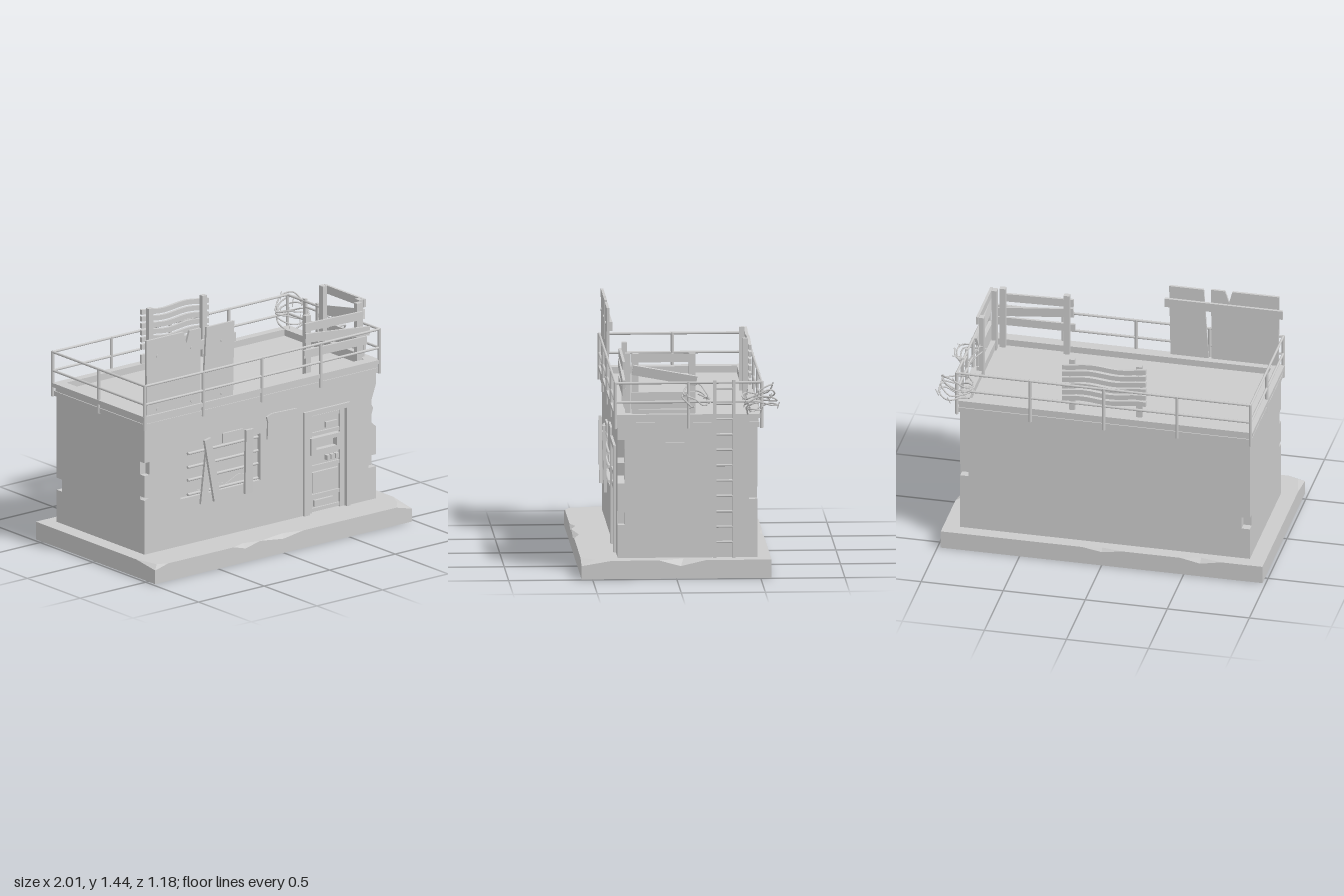
import * as THREE from 'three';

const mat = new THREE.MeshStandardMaterial({ color: 0xcccccc, flatShading: true, side: THREE.DoubleSide });
const smooth = new THREE.MeshStandardMaterial({ color: 0xcccccc });
const V = (x, y, z) => new THREE.Vector3(x, y, z);
const X0 = -0.905, X1 = 0.86, Z0 = -0.47, Z1 = 0.36, GROUND = 0.11, TOP = 0.9;

function add(parent, name, geo, m = mat) {
  const mesh = new THREE.Mesh(geo, m);
  mesh.name = name;
  parent.add(mesh);
  return mesh;
}
// Box given by its extents
function block(parent, name, x0, x1, y0, y1, z0, z1) {
  const mesh = add(parent, name, new THREE.BoxGeometry(x1 - x0, y1 - y0, z1 - z0));
  mesh.position.set((x0 + x1) / 2, (y0 + y1) / 2, (z0 + z1) / 2);
  return mesh;
}
// Round bar between two points
function rod(parent, name, a, b, r = 0.008) {
  const mesh = add(parent, name, new THREE.CylinderGeometry(r, r, a.distanceTo(b), 8), smooth);
  mesh.position.copy(a).add(b).multiplyScalar(0.5);
  mesh.quaternion.setFromUnitVectors(V(0, 1, 0), b.clone().sub(a).normalize());
}
// Board between two points along its length, optionally warped by a wave
function plank(parent, name, a, b, width, depth, wave = 0) {
  const len = a.distanceTo(b);
  const geo = new THREE.BoxGeometry(len, width, depth, wave ? 12 : 1, 1, 1);
  const p = geo.attributes.position;
  for (let i = 0; i < p.count; i++) {
    const t = p.getX(i) / len;
    p.setY(i, p.getY(i) + wave * Math.sin(t * 9 + a.y * 5));
  }
  geo.computeVertexNormals();
  const mesh = add(parent, name, geo);
  mesh.position.copy(a).add(b).multiplyScalar(0.5);
  mesh.quaternion.setFromUnitVectors(V(1, 0, 0), b.clone().sub(a).normalize());
  return mesh;
}
function polygon(pts) {
  return new THREE.Shape(pts.map(([x, y]) => new THREE.Vector2(x, y)));
}
function slab(parent, name, shape, z, depth) {
  const mesh = add(parent, name, new THREE.ExtrudeGeometry(shape, { depth, bevelEnabled: false }));
  mesh.position.z = z;
  return mesh;
}
const rect = (x0, x1, y0, y1) => [[x0, y0], [x1, y0], [x1, y1], [x0, y1]];

// Foundation: each edge point is [x, z, inner x, inner z, drop]; chips lower the rim
function foundationGeometry() {
  const e = [
    [-1, 0.58, -0.965, 0.55, 0.025], [-0.9, 0.58, -0.9, 0.58, 0], [-0.4, 0.58, -0.4, 0.58, 0],
    [-0.31, 0.58, -0.31, 0.55, 0.025], [-0.2, 0.58, -0.2, 0.58, 0], [-0.02, 0.58, 0.0, 0.545, 0.022],
    [0.13, 0.58, 0.13, 0.58, 0], [0.84, 0.58, 0.84, 0.58, 0], [0.96, 0.58, 0.91, 0.5, 0.03],
    [0.96, 0.4, 0.96, 0.4, 0], [0.96, 0.12, 0.96, 0.12, 0], [0.96, -0.01, 0.89, -0.03, 0.035],
    [0.96, -0.16, 0.96, -0.16, 0], [0.96, -0.55, 0.96, -0.55, 0], [0.1, -0.55, 0.1, -0.55, 0],
    [-0.02, -0.55, -0.02, -0.53, 0.02], [-0.15, -0.55, -0.15, -0.55, 0], [-0.5, -0.55, -0.5, -0.55, 0],
    [-0.62, -0.55, -0.62, -0.52, 0.025], [-0.75, -0.55, -0.75, -0.55, 0], [-1, -0.55, -1, -0.55, 0],
    [-1, 0.4, -1, 0.4, 0]];
  const out = [];
  const tri = (...ps) => ps.forEach((p) => out.push(...p));
  const low = (p) => [p[0], 0, p[1]], rim = (p) => [p[0], GROUND - p[4], p[1]], top = (p) => [p[2], GROUND, p[3]];
  e.forEach((p, i) => {
    const q = e[(i + 1) % e.length];
    tri(low(p), low(q), rim(q), low(p), rim(q), rim(p));
    tri(rim(p), rim(q), top(q), rim(p), top(q), top(p));
  });
  const cap = (k) => THREE.ShapeUtils.triangulateShape(e.map((p) => new THREE.Vector2(p[k], -p[k + 1])), []);
  cap(2).forEach(([a, b, c]) => tri(top(e[a]), top(e[b]), top(e[c])));
  cap(0).forEach(([a, b, c]) => tri(low(e[c]), low(e[b]), low(e[a])));
  const geo = new THREE.BufferGeometry();
  geo.setAttribute('position', new THREE.Float32BufferAttribute(out, 3));
  geo.computeVertexNormals();
  return geo;
}

// Wall face whose side edges are chipped by [inset, y] profiles
function wallShape(leftChips, rightChips, doorway) {
  return polygon([[X0, GROUND], ...doorway, [X1, GROUND], ...rightChips.map(([d, y]) => [X1 - d, y]),
    [X1, TOP], [X0, TOP], ...leftChips.map(([d, y]) => [X0 + d, y]).reverse()]);
}
const notch = (y0, y1, d) => [[0, y0], [d, y0], [d, y1], [0, y1]];

function building(g) {
  block(g, 'wallCore', X0, X1, GROUND, TOP, Z0 + 0.05, Z1 - 0.04);
  const front = wallShape([[0, 0.445], [0.035, 0.458], [0, 0.465], ...notch(0.6, 0.68, 0.04)],
    [...notch(0.31, 0.385, 0.055), [0, 0.56], [0.045, 0.6], [0.02, 0.68], [0.04, 0.71], [0, 0.82]],
    [[0.34, GROUND], [0.34, 0.73], [0.635, 0.73], [0.635, GROUND]]);
  front.holes.push(polygon(rect(-0.63, -0.02, 0.4, 0.69)));
  slab(g, 'frontWall', front, Z1 - 0.04, 0.04);
  slab(g, 'backWall', wallShape(notch(0.31, 0.385, 0.05), notch(0.46, 0.535, 0.05), []), Z0, 0.05);
  // Stepped cornice around a sunken roof
  for (const [grow, y0, y1] of [[0.012, 0.895, 0.925], [0.006, 0.925, 0.95], [0.02, 0.95, 0.975]]) {
    const s = polygon(rect(X0 - grow, X1 + grow, Z0 - grow, Z1 + grow));
    s.holes.push(polygon(rect(-0.855, 0.81, -0.44, 0.31)));
    const m = slab(g, 'cornice', s, 0, y1 - y0);
    m.rotation.x = Math.PI / 2;
    m.position.y = y1;
  }
  block(g, 'roof', -0.87, 0.82, 0.88, 0.935, -0.45, 0.32);
  block(g, 'sidePanel', X1, X1 + 0.006, 0.565, 0.805, -0.14, 0.225);
}

function windowAndDoor(g) {
  // Broken glass left around the window edge
  const glass = polygon(rect(-0.63, -0.02, 0.4, 0.69));
  glass.holes.push(polygon([[-0.56, 0.44], [-0.45, 0.42], [-0.36, 0.45], [-0.26, 0.42], [-0.17, 0.46], [-0.08, 0.45],
    [-0.1, 0.53], [-0.05, 0.58], [-0.12, 0.65], [-0.24, 0.63], [-0.33, 0.67], [-0.46, 0.64], [-0.55, 0.66], [-0.53, 0.57], [-0.6, 0.53]]));
  slab(g, 'brokenGlass', glass, 0.328, 0.006);
  for (const y of [0.42, 0.51, 0.59, 0.675]) rod(g, 'windowBar', V(-0.58, y, 0.365), V(-0.045, y, 0.365), 0.009);
  plank(g, 'windowBoard', V(-0.47, 0.345, 0.378), V(-0.43, 0.66, 0.378), 0.05, 0.016);
  plank(g, 'windowBoard', V(-0.455, 0.75, 0.395), V(-0.38, 0.355, 0.395), 0.05, 0.018);
  plank(g, 'windowBoard', V(-0.13, 0.345, 0.38), V(-0.13, 0.745, 0.39), 0.055, 0.018);
  block(g, 'windowPatch', -0.315, -0.16, 0.69, 0.75, Z1, 0.372);
  slab(g, 'wallPlate', polygon([[0.025, 0.645], [0.25, 0.64], [0.25, 0.795], [0.06, 0.8], [0.02, 0.785], [0.03, 0.75]]), Z1, 0.012);

  // Door frame, leaf, and fittings
  const frame = polygon([[0.305, GROUND], [0.345, GROUND], [0.345, 0.725], [0.63, 0.725], [0.63, GROUND], [0.655, GROUND], [0.655, 0.755], [0.305, 0.755]]);
  slab(g, 'doorFrame', frame, 0.33, 0.045);
  block(g, 'doorLeaf', 0.345, 0.63, GROUND, 0.725, 0.32, 0.335);
  for (const x of [0.345, 0.595]) block(g, 'doorStile', x, x + 0.035, GROUND, 0.725, 0.335, 0.35);
  for (const y of [0.115, 0.2, 0.38, 0.585, 0.69]) block(g, 'doorRail', 0.38, 0.595, y, y + 0.022, 0.335, 0.347);
  const hatch = polygon(rect(0.36, 0.585, 0.475, 0.58));
  hatch.holes.push(polygon(rect(0.4, 0.555, 0.505, 0.555)));
  slab(g, 'doorHatch', hatch, 0.335, 0.035);
  block(g, 'doorPanel', 0.385, 0.58, 0.235, 0.36, 0.335, 0.352);
  block(g, 'doorVent', 0.4, 0.545, 0.145, 0.185, 0.335, 0.352);
  block(g, 'doorSlot', 0.49, 0.58, 0.62, 0.655, 0.335, 0.35);
  for (let i = 0; i < 3; i++) block(g, 'doorLock', 0.49 + i * 0.033, 0.515 + i * 0.033, 0.42, 0.45, 0.335, 0.36);
}

function railingAndLadder(g) {
  const a = -0.915, b = 0.875, c = -0.495, d = 0.375;
  for (const y of [1.05, 1.165]) {
    const ring = [V(a, y, d), V(b, y, d), V(b, y, c), V(a, y, c)];
    ring.forEach((p, i) => rod(g, 'handrail', p, ring[(i + 1) % 4]));
  }
  for (const z of [c, d]) for (let i = 0; i < 5; i++) {
    const x = a + (b - a) * i / 4;
    rod(g, 'railPost', V(x, 0.89, z), V(x, 1.17, z), 0.01);
  }
  for (const x of [a, b]) rod(g, 'railPost', V(x, 0.89, -0.06), V(x, 1.17, -0.06), 0.01);
  for (const z of [-0.215, -0.33]) block(g, 'ladderRail', 0.87, 0.888, GROUND, 1.18, z - 0.01, z + 0.01);
  for (let i = 0; i < 11; i++) rod(g, 'ladderRung', V(0.879, 0.205 + i * 0.0925, -0.215), V(0.879, 0.205 + i * 0.0925, -0.33), 0.007);
}

function barricades(g) {
  // Large sheets at the front left, screwed to a bar
  slab(g, 'sheet', polygon([[-0.89, 0.905], [-0.485, 0.91], [-0.48, 1.44], [-0.565, 1.44], [-0.59, 1.365], [-0.61, 1.44], [-0.895, 1.44]]), 0.352, 0.015);
  slab(g, 'sheet', polygon([[-0.47, 0.91], [-0.235, 0.905], [-0.225, 1.435], [-0.435, 1.435]]), 0.352, 0.015);
  block(g, 'sheetBar', -0.92, -0.2, 1.3, 1.355, 0.335, 0.352);
  for (const x of [-0.81, -0.55, -0.32]) for (const y of [1.0, 1.33]) rod(g, 'screw', V(x, y, 0.36), V(x, y, 0.372), 0.01);

  // Warped slats along the back
  for (const x of [-0.225, 0.185]) block(g, 'slatPost', x - 0.017, x + 0.017, 0.935, 1.315, -0.45, -0.42);
  for (let i = 0; i < 6; i++) {
    const y = 1.07 + i * 0.043;
    plank(g, 'slat', V(-0.27, y, -0.46), V(0.24, y - 0.01, -0.46), 0.03, 0.018, 0.008);
  }
  // Board fence at the front right
  for (const x of [0.385, 0.775]) block(g, 'fencePost', x - 0.018, x + 0.018, 0.935, 1.33, 0.28, 0.312);
  plank(g, 'fenceBoard', V(0.35, 1.265, 0.32), V(0.79, 1.255, 0.32), 0.05, 0.016);
  plank(g, 'fenceBoard', V(0.35, 1.2, 0.322), V(0.84, 1.15, 0.322), 0.055, 0.016);
  plank(g, 'fenceBoard', V(0.34, 1.1, 0.32), V(0.82, 1.095, 0.32), 0.05, 0.016);
  // Board fence along the right side
  for (const z of [0.255, -0.085]) block(g, 'fencePost', 0.8, 0.83, 0.935, 1.335, z - 0.02, z + 0.02);
  plank(g, 'fenceBoard', V(0.84, 1.31, 0.28), V(0.84, 1.31, -0.1), 0.05, 0.016);
  plank(g, 'fenceBoard', V(0.842, 1.24, 0.27), V(0.842, 1.17, -0.11), 0.06, 0.016);
  plank(g, 'fenceBoard', V(0.84, 1.055, 0.28), V(0.84, 1.055, -0.1), 0.1, 0.016);
  plank(g, 'fenceBoard', V(0.825, 0.985, 0.27), V(0.825, 0.985, -0.1), 0.03, 0.04);
}

// Loose coil of wire with short barbs
function wireCoil(g, center, radius, turns, height, tilt) {
  const coil = new THREE.Group();
  coil.name = 'wireCoil';
  const pts = [], n = turns * 8;
  for (let i = 0; i <= n; i++) {
    const t = i / n, ang = i * Math.PI / 4, r = radius * (1 + 0.12 * Math.sin(i * 2.3));
    pts.push(V(r * Math.cos(ang), (t - 0.5) * height + 0.018 * Math.sin(i * 1.7), r * Math.sin(ang)));
  }
  add(coil, 'wire', new THREE.TubeGeometry(new THREE.CatmullRomCurve3(pts), n * 3, 0.005, 5), smooth);
  pts.forEach((p, i) => {
    if (i % 3 === 0) rod(coil, 'barb', p.clone().add(V(-0.012, -0.018, 0.01)), p.clone().add(V(0.012, 0.018, -0.01)), 0.003);
  });
  coil.position.copy(center);
  coil.rotation.set(tilt, 0, tilt);
  g.add(coil);
}

export function createModel() {
  const g = new THREE.Group();
  g.name = 'guardHut';
  add(g, 'foundation', foundationGeometry());
  building(g);
  windowAndDoor(g);
  railingAndLadder(g);
  barricades(g);
  wireCoil(g, V(0.89, 1.06, -0.48), 0.095, 4, 0.13, 0.2);
  wireCoil(g, V(0.89, 1.09, -0.1), 0.08, 2, 0.08, -0.35);
  g.position.set(0.02, 0, -0.015);
  const root = new THREE.Group();
  root.name = 'fortifiedHut';
  root.add(g);
  return root;
}
